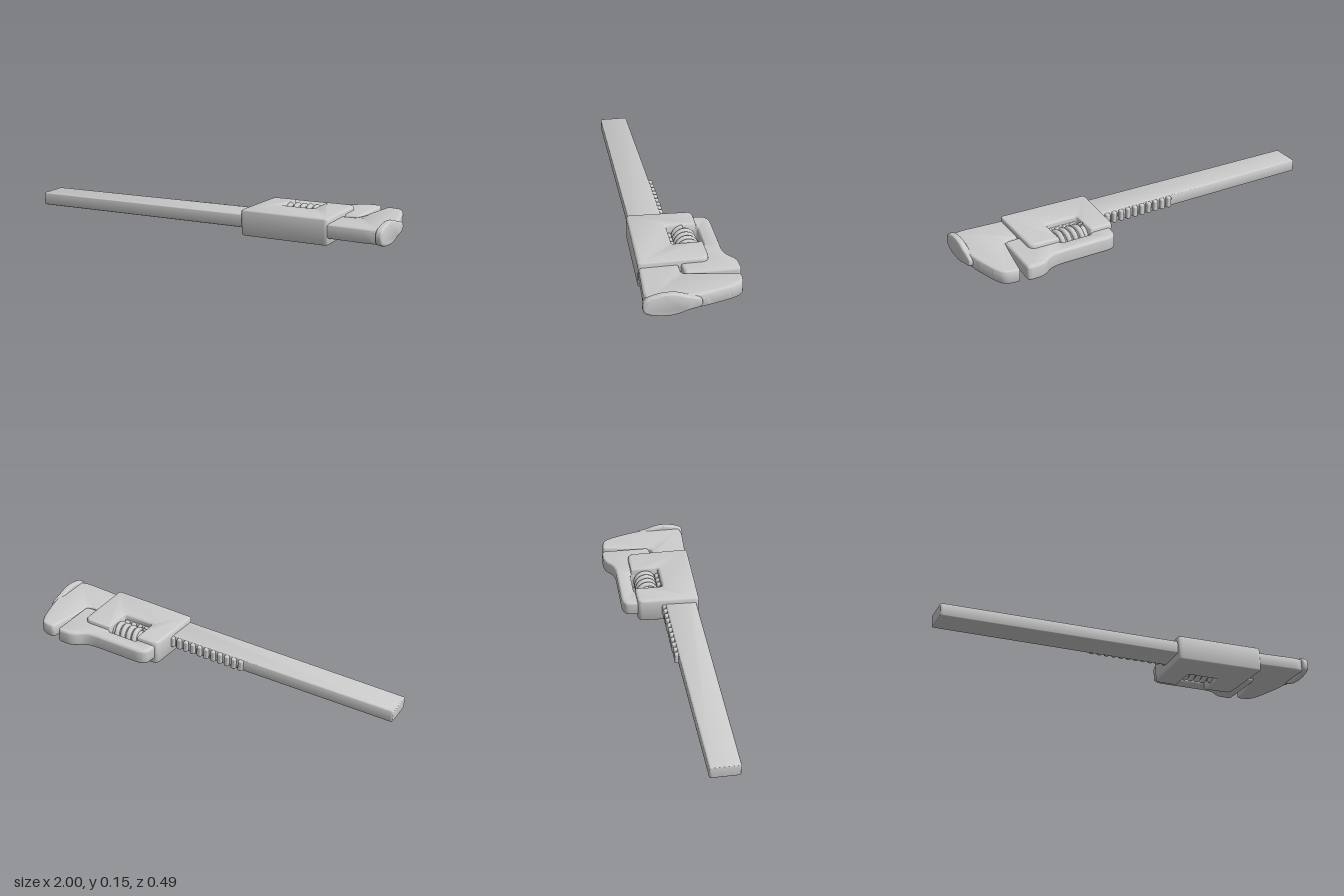
import * as THREE from 'three';
import { toCreasedNormals } from 'three/addons/utils/BufferGeometryUtils.js';
import { RoundedBoxGeometry } from 'three/addons/geometries/RoundedBoxGeometry.js';

const material = new THREE.MeshStandardMaterial({ color: 0xcccccc });

function part(name, geometry) {
  const mesh = new THREE.Mesh(geometry, material);
  mesh.name = name;
  return mesh;
}

// Closed polygon whose corners [x, z, radius] are softened.
function roundedShape(corners) {
  const shape = new THREE.Shape();
  const n = corners.length;
  corners.forEach(([x, y, r = 0.012], i) => {
    const c = new THREE.Vector2(x, y);
    const [prev, next] = [corners[(i + n - 1) % n], corners[(i + 1) % n]]
      .map(([a, b]) => new THREE.Vector2(a, b).sub(c));
    const a = prev.clone().setLength(Math.min(r, prev.length() * 0.45)).add(c);
    const b = next.clone().setLength(Math.min(r, next.length() * 0.45)).add(c);
    if (i === 0) shape.moveTo(a.x, a.y);
    else shape.lineTo(a.x, a.y);
    shape.quadraticCurveTo(x, y, b.x, b.y);
  });
  shape.closePath();
  return shape;
}

function bevelled(shape, thickness, bevel) {
  const geometry = new THREE.ExtrudeGeometry(shape, {
    depth: thickness - 2 * bevel, bevelThickness: bevel, bevelSize: bevel,
    bevelOffset: -bevel, bevelSegments: 4, curveSegments: 6,
  });
  geometry.translate(0, 0, -(thickness - 2 * bevel) / 2);
  return geometry;
}

// Plate lying flat: outline in x and z, thickness along y.
function plate(name, corners, thickness, bevel) {
  const geometry = bevelled(roundedShape(corners), thickness, bevel).rotateX(Math.PI / 2);
  return part(name, toCreasedNormals(geometry, 0.7));
}

export function createModel() {
  const wrench = new THREE.Group();
  wrench.name = 'adjustableWrench';

  // Long handle bar, running through the sleeve
  wrench.add(plate('handleBar', [
    [-1, 0.045], [-0.2, 0.038], [0.78, 0.036], [0.78, 0.21], [0.25, 0.203], [-1, 0.195],
  ], 0.067, 0.009));

  // Rack teeth along the back edge
  const rack = new THREE.Group();
  rack.name = 'rackTeeth';
  for (let x = -0.16; x < 0.56; x += 0.041) {
    const tooth = part('rackTooth', new RoundedBoxGeometry(0.026, 0.06, 0.034, 3, 0.008));
    tooth.position.set(x, 0, 0.036);
    tooth.rotation.y = 0.12;
    rack.add(tooth);
  }
  wrench.add(rack);

  // Fixed jaw with neck
  wrench.add(plate('fixedJaw', [
    [0.83, -0.237, 0.02], [0.905, -0.228, 0.03], [0.935, -0.18, 0.03], [0.98, -0.03, 0.05],
    [0.992, 0.08, 0.05], [0.988, 0.222, 0.02], [0.93, 0.235, 0.03], [0.7, 0.222],
    [0.7, 0.04], [0.785, 0.033, 0.02], [0.808, -0.1, 0.04],
  ], 0.072, 0.014));

  // Flared hammer face on the end of the fixed jaw
  const faceOutline = new THREE.CatmullRomCurve3([
    [0.24, 0.025], [0.175, 0.052], [0.1, 0.054], [0.04, 0.036], [-0.02, 0.016],
    [-0.02, -0.018], [0.04, -0.036], [0.1, -0.054], [0.18, -0.053], [0.24, -0.03],
  ].map(([z, y]) => new THREE.Vector3(-z, y, 0)), true);
  const face = bevelled(new THREE.Shape(faceOutline.getPoints(48)), 0.034, 0.01);
  const hammerFace = part('hammerFace', toCreasedNormals(face.rotateY(Math.PI / 2), 0.7));
  hammerFace.position.set(0.982, 0.003, 0);
  wrench.add(hammerFace);

  // Sliding jaw, notched around the adjusting screw
  wrench.add(plate('slidingJaw', [
    [0.26, 0.035], [0.28, -0.17, 0.03], [0.315, -0.19, 0.03], [0.64, -0.19, 0.06],
    [0.705, -0.245, 0.035], [0.795, -0.245, 0.02], [0.793, 0.02, 0.02], [0.555, 0.035],
    [0.555, -0.115], [0.385, -0.115], [0.385, 0.035],
  ], 0.08, 0.014));

  // Sleeve wrapping the bar, open around the screw
  const sleeve = plate('sleeve', [
    [0.258, -0.11, 0.03], [0.385, -0.11, 0.006], [0.385, 0.04], [0.555, 0.04],
    [0.555, -0.11, 0.006], [0.715, -0.11, 0.04], [0.718, 0.228, 0.02], [0.242, 0.217, 0.02],
  ], 0.132, 0.014);
  sleeve.position.y = -0.005;
  wrench.add(sleeve);

  // Adjusting screw: core with a helical thread
  const screw = new THREE.Group();
  screw.name = 'adjustingScrew';
  screw.position.set(0.47, 0, -0.04);
  screw.add(part('screwCore', new THREE.CylinderGeometry(0.044, 0.044, 0.18, 32).rotateZ(Math.PI / 2)));
  const turns = 4.5;
  const helix = new THREE.CatmullRomCurve3(Array.from({ length: 109 }, (_, i) => {
    const angle = (i / 108) * turns * 2 * Math.PI;
    return new THREE.Vector3(-0.08 + (0.16 * i) / 108, 0.046 * Math.cos(angle), 0.046 * Math.sin(angle));
  }));
  screw.add(part('screwThread', new THREE.TubeGeometry(helix, 220, 0.014, 10)));
  wrench.add(screw);

  // The tool rests with a slight tilt
  wrench.rotation.z = 0.03;
  wrench.position.y = 0.067;
  const model = new THREE.Group();
  model.name = 'wrench';
  model.add(wrench);
  return model;
}
